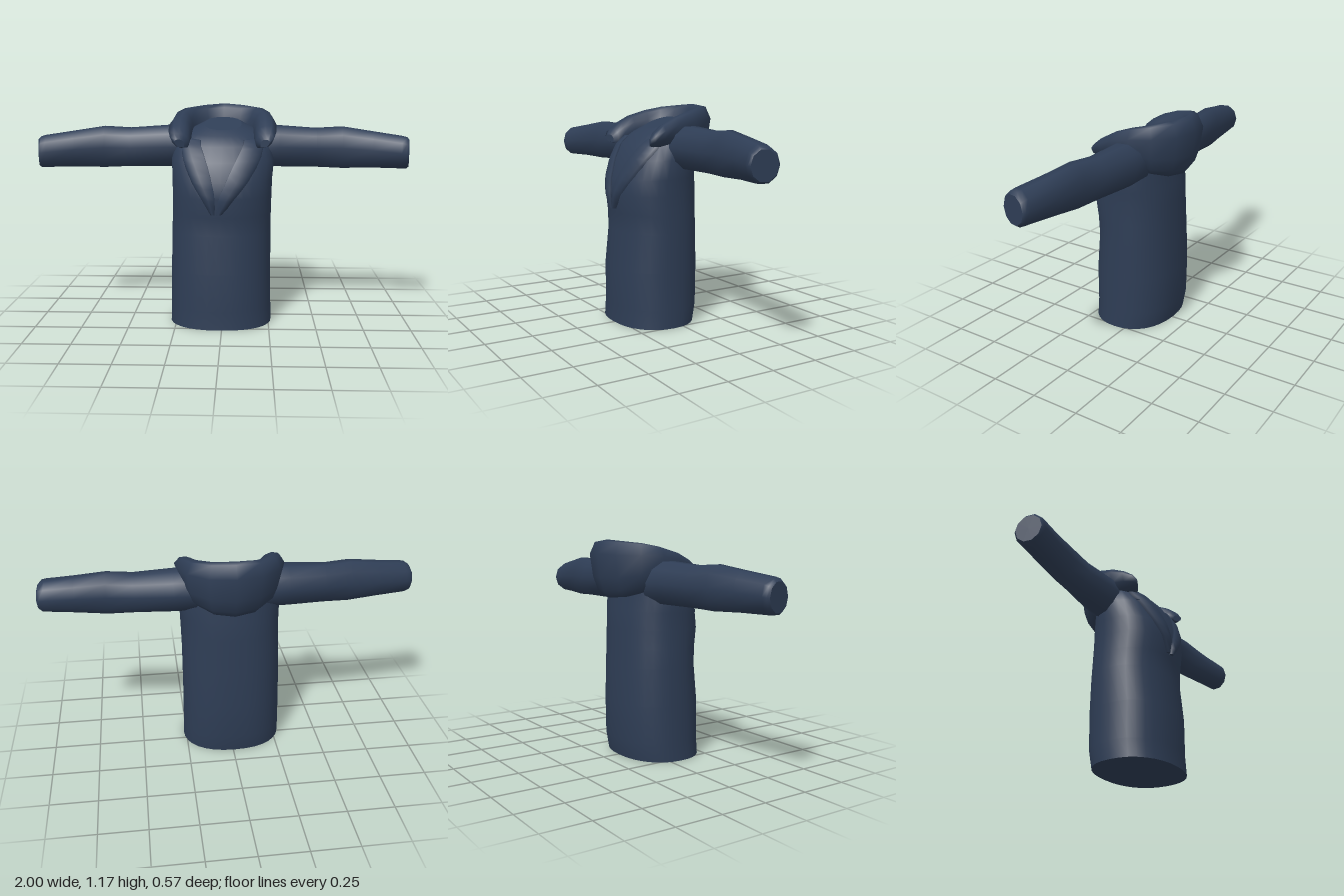
import * as THREE from 'three';

const navy = new THREE.MeshStandardMaterial({ color: 0x2e3d55 });
navy.name = 'navyCloth';

// Skin a list of closed loops (counter-clockwise about the travel direction), with flat end caps.
function loft(name, rings) {
  const n = rings[0].length, pos = [], idx = [];
  rings.forEach(r => r.forEach(p => pos.push(...p)));
  for (let i = 0; i < rings.length - 1; i++) {
    for (let j = 0; j < n; j++) {
      const a = i * n + j, b = i * n + (j + 1) % n;
      idx.push(a, b, a + n, b, b + n, a + n);
    }
  }
  const cap = (ring, flip) => {
    const c = pos.length / 3;
    pos.push(...[0, 1, 2].map(k => ring.reduce((s, p) => s + p[k], 0) / n));
    ring.forEach(p => pos.push(...p));
    for (let j = 0; j < n; j++) {
      const a = c + 1 + j, b = c + 1 + (j + 1) % n;
      if (flip) idx.push(c, b, a); else idx.push(c, a, b);
    }
  };
  cap(rings[0], true);
  cap(rings[rings.length - 1], false);
  const g = new THREE.BufferGeometry();
  g.setAttribute('position', new THREE.Float32BufferAttribute(pos, 3));
  g.setIndex(idx);
  g.computeVertexNormals();
  const mesh = new THREE.Mesh(g, navy);
  mesh.name = name;
  return mesh;
}

// Body rings: front y, front z, back y, back z, half width, centre x
const body = [
  [0, 0.28, 0, -0.155, 0.275, -0.01],
  [0.1, 0.275, 0.1, -0.175, 0.273, -0.01],
  [0.3, 0.277, 0.3, -0.18, 0.27, -0.01],
  [0.5, 0.255, 0.5, -0.172, 0.268, -0.008],
  [0.6, 0.26, 0.6, -0.168, 0.266, -0.006],
  [0.7, 0.274, 0.7, -0.165, 0.266, -0.004],
  [0.78, 0.262, 0.8, -0.16, 0.268, -0.003],
  [0.88, 0.226, 0.9, -0.145, 0.275, 0],
  [0.96, 0.178, 1.0, -0.14, 0.25, 0],
  [1.01, 0.12, 1.06, -0.13, 0.18, 0],
  [1.04, 0.07, 1.1, -0.08, 0.1, 0],
];

// Point on the body at ring position v and angle a (0 = front), pushed outwards by off
function bodyPoint(v, a, off = 0) {
  const i = Math.min(Math.floor(v), body.length - 2), f = v - i;
  const [yF, zF, yB, zB, rx, cx] = body[i].map((q, k) => q + (body[i + 1][k] - q) * f);
  const round = q => Math.sign(q) * Math.pow(Math.abs(q), 0.88);
  const s = round(Math.sin(a)), c = round(Math.cos(a));
  return [
    cx + s * (rx + off),
    (yF + yB) / 2 + c * (yF - yB) / 2,
    (zF + zB) / 2 + c * ((zF - zB) / 2 + off),
  ];
}

// Lapel band lying on the body, from the bottom of the V to under the hood
function lapel(side) {
  const rings = [];
  for (let k = 0; k <= 12; k++) {
    const t = k / 12, v = 4.2 + 4.4 * t, shift = -0.07 * (1 - t);
    const inner = 0.015 + 0.5 * t * t, outer = 0.1 + 1.2 * t;
    const ring = [[0, -0.012], [0, 0.01], [0.35, 0.017], [0.7, 0.012], [1, -0.012]]
      .map(([u, off]) => bodyPoint(v, side * (inner + (outer - inner) * u) + shift, off));
    rings.push(side > 0 ? ring : ring.reverse());
  }
  return loft(side > 0 ? 'leftLapel' : 'rightLapel', rings);
}

// Sleeve sections: x, centre y, centre z, half height, half depth, slant
const sleeve = [
  [0.18, 0.95, -0.02, 0.11, 0.105, 0],
  [0.3, 0.95, -0.02, 0.11, 0.1, 0],
  [0.5, 0.943, -0.01, 0.104, 0.077, 0],
  [0.64, 0.945, 0, 0.111, 0.07, -0.05],
  [0.8, 0.936, 0.025, 0.096, 0.071, -0.1],
  [0.95, 0.925, 0.055, 0.085, 0.074, -0.2],
  [0.975, 0.922, 0.06, 0.081, 0.075, -0.2],
  [0.986, 0.92, 0.063, 0.07, 0.066, -0.2],
];

function arm(side) {
  const rings = sleeve.map(([x, y, z, ry, rz, slant]) =>
    Array.from({ length: 10 }, (_, j) => {
      const a = (j + 0.5) / 10 * Math.PI * 2, dz = rz * Math.sin(a);
      return [side * (x + slant * dz), y + ry * Math.cos(a) * 1.04, z + dz * 1.02];
    }));
  return loft(side > 0 ? 'leftSleeve' : 'rightSleeve', side > 0 ? rings : rings.reverse());
}

// Folded hood: stations from the left front tip to the middle of the back
function hood() {
  // x, z, bottom y, top y, half thickness, outward direction in degrees from +x towards -z
  const half = [
    [0.225, 0.185, 0.96, 1.0, 0.025, -25],
    [0.227, 0.165, 0.955, 1.03, 0.045, -15],
    [0.23, 0.12, 0.955, 1.066, 0.053, -5],
    [0.23, 0.05, 0.955, 1.103, 0.055, 0],
    [0.222, -0.04, 0.93, 1.132, 0.056, 10],
    [0.19, -0.13, 0.895, 1.15, 0.056, 35],
    [0.11, -0.197, 0.872, 1.16, 0.056, 65],
  ];
  const mirrored = half.map(([x, z, b, t, w, d]) => [-x, z, b, t, w, 180 - d]).reverse();
  const stations = [...half, [0, -0.224, 0.865, 1.168, 0.056, 90], ...mirrored];
  const section = [[-0.1, 1], [0.5, 0.98], [1, 0.76], [0.7, 0.35], [0.3, 0.12], [-0.27, 0],
    [-1.2, 0], [-1.2, 0.5], [-0.95, 0.76], [-0.6, 0.93]];
  return loft('hood', stations.map(([x, z, b, t, w, d]) => {
    const a = d * Math.PI / 180;
    return section.map(([u, v]) => [x + Math.cos(a) * u * w, b + (t - b) * v, z - Math.sin(a) * u * w]);
  }));
}

export function createModel() {
  const group = new THREE.Group();
  group.name = 'jacket';
  const sides = 32;
  group.add(loft('body', body.map((_, v) =>
    Array.from({ length: sides }, (_, j) => bodyPoint(v, j / sides * Math.PI * 2)))));
  for (const side of [1, -1]) group.add(lapel(side), arm(side));
  group.add(hood());
  return group;
}
